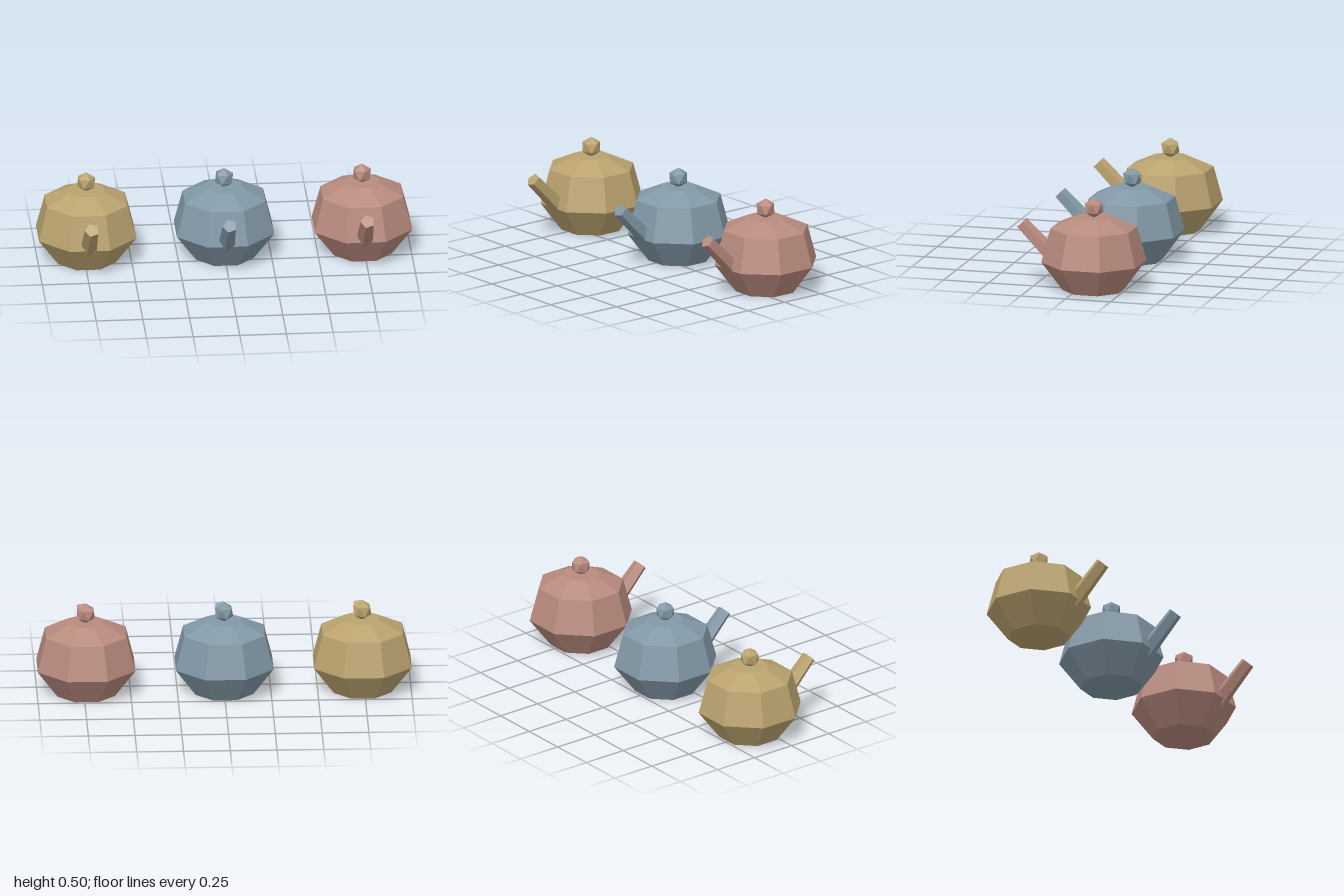
import * as THREE from 'three';

const CENTRE_Z = -0.082;
const SPACING = 0.739;

// Octagonal body: radius and height of each ring, closed at both ends
function bodyGeometry() {
  const profile = [[0, 0], [0.1667, 0], [0.2825, 0.155], [0.233, 0.34], [0.101, 0.4], [0, 0.4]]
    .map(([r, y]) => new THREE.Vector2(r, y));
  return new THREE.LatheGeometry(profile, 8, Math.PI / 8).translate(0, 0, CENTRE_Z);
}

// Icosahedral lid knob, turned so that it stands on a corner
function knobGeometry() {
  return new THREE.IcosahedronGeometry(0.0547, 0)
    .rotateZ(-Math.atan(2 / (1 + Math.sqrt(5))))
    .translate(0, 0.4475, CENTRE_Z);
}

// Tapered five-sided spout, leaning forward at 45 degrees
function spoutGeometry() {
  return new THREE.CylinderGeometry(0.0386, 0.0468, 0.264, 5)
    .rotateY(-Math.PI / 2)
    .rotateX(Math.PI / 4)
    .translate(0, 0.2457, 0.2257);
}

export function createModel() {
  const model = new THREE.Group();
  model.name = 'teapots';

  const parts = { body: bodyGeometry(), knob: knobGeometry(), spout: spoutGeometry() };
  const colours = [['yellow', 0xb9a26e], ['blue', 0x8298a6], ['pink', 0xb88a7e]];

  // One teapot per colour, in a row along x
  colours.forEach(([name, hex], i) => {
    const material = new THREE.MeshStandardMaterial({ color: hex, flatShading: true });
    material.name = name;
    const teapot = new THREE.Group();
    teapot.name = `${name} teapot`;
    for (const [part, geometry] of Object.entries(parts)) {
      const mesh = new THREE.Mesh(geometry, material);
      mesh.name = part;
      teapot.add(mesh);
    }
    teapot.position.x = (i - 1) * SPACING;
    model.add(teapot);
  });

  return model;
}
